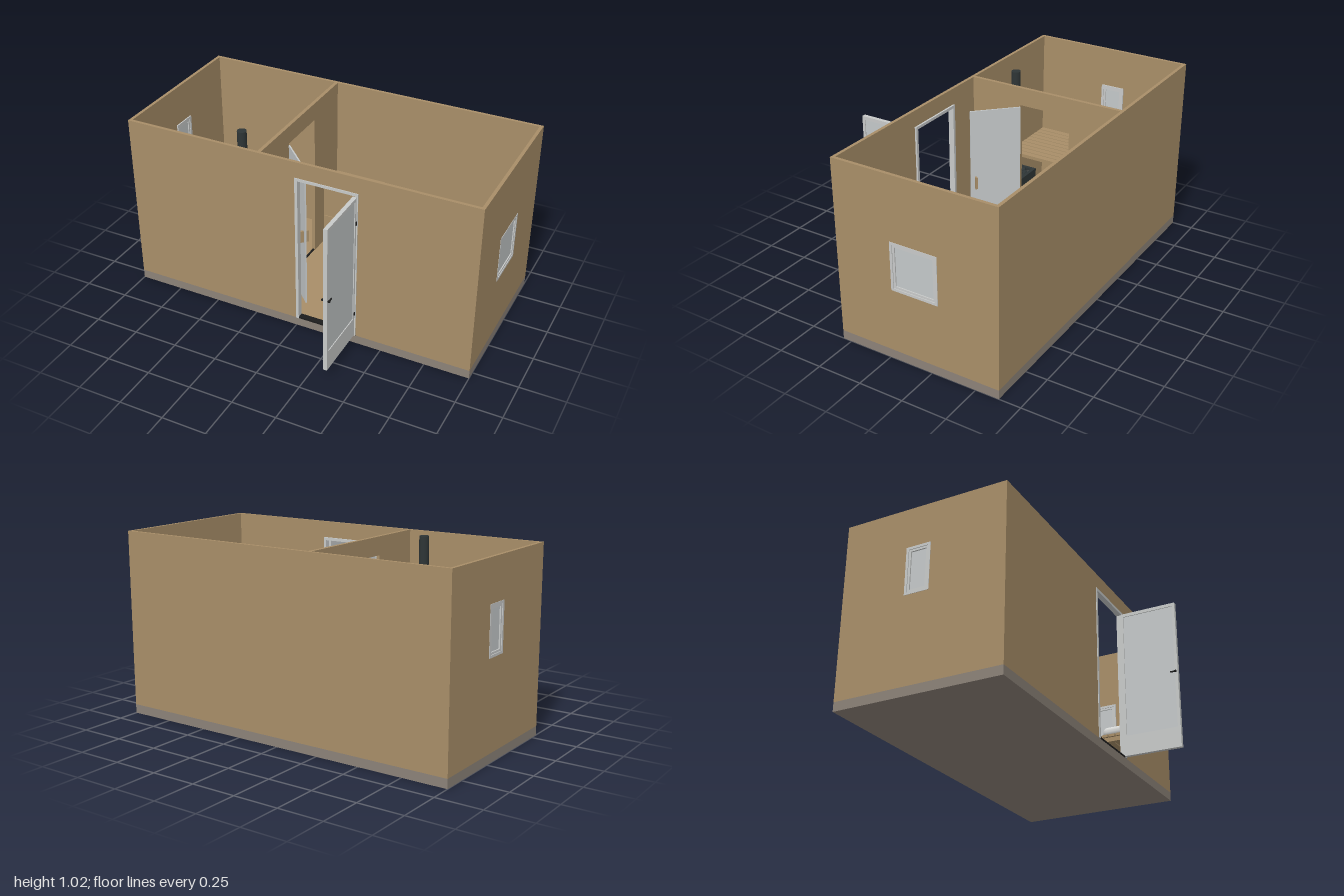
import * as THREE from 'three';
import { RoundedBoxGeometry } from 'three/addons/geometries/RoundedBoxGeometry.js';

const mat = (name, color, side = THREE.FrontSide) => {
  const m = new THREE.MeshStandardMaterial({ color, side });
  m.name = name;
  return m;
};

export function createModel() {
  const model = new THREE.Group();
  model.name = 'saunaCabin';
  const wood = mat('wood', 0xa88e68);
  const stone = mat('foundationGrey', 0x8c8278);
  const white = mat('paintedFrame', 0xc8cac9);
  const glass = mat('paleGlass', 0xc4c8c9);
  const iron = mat('castIron', 0x2e3536);
  const black = mat('blackMetal', 0x1c1c1c);
  const rock = mat('stoveRock', 0x55534f);
  const cloth = mat('cushionCloth', 0xd4d5d3);

  const add = (name, geo, material, parent = model) => {
    const m = new THREE.Mesh(geo, material);
    m.name = name;
    parent.add(m);
    return m;
  };
  // Box given by its minimum and maximum corners
  const box = (name, material, x0, x1, y0, y1, z0, z1, parent = model) => {
    const m = add(name, new THREE.BoxGeometry(x1 - x0, y1 - y0, z1 - z0), material, parent);
    m.position.set((x0 + x1) / 2, (y0 + y1) / 2, (z0 + z1) / 2);
    return m;
  };
  const cyl = (name, material, r0, r1, h, x, y, z, seg = 20, parent = model) => {
    const m = add(name, new THREE.CylinderGeometry(r0, r1, h, seg), material, parent);
    m.position.set(x, y, z);
    return m;
  };
  const group = (name, parent = model) => {
    const g = new THREE.Group();
    g.name = name;
    parent.add(g);
    return g;
  };
  const rect = (C, u0, u1, y0, y1) => {
    const s = new C();
    s.moveTo(u0, y0); s.lineTo(u1, y0); s.lineTo(u1, y1); s.lineTo(u0, y1); s.closePath();
    return s;
  };
  // Extruded panel with an optional rectangular hole [u0, u1, y0, y1]
  const panelGeo = (outer, hole, depth) => {
    const s = rect(THREE.Shape, ...outer);
    if (hole) s.holes.push(rect(THREE.Path, ...hole));
    return new THREE.ExtrudeGeometry(s, { depth, bevelEnabled: false });
  };
  // Panel lying across x, spanning z; xMax is its +x face
  const sidePanel = (name, material, xMax, outer, hole, depth, parent) => {
    const m = add(name, panelGeo(outer, hole, depth), material, parent);
    m.rotation.y = -Math.PI / 2;
    m.position.x = xMax;
    return m;
  };

  // Foundation and floor
  const TOP = 1.025;
  box('foundation', stone, -1, 1, 0, 0.05, -0.63, 0.3);
  box('floor', wood, -0.985, 0.985, 0.049, 0.055, -0.615, 0.285);

  // Walls; the front wall is cut round the doorway
  box('backWall', wood, -1, 1, 0.05, TOP, -0.63, -0.612);
  box('frontWallRight', wood, -1, 0, 0.05, TOP, 0.282, 0.3);
  box('frontWallLeft', wood, 0.355, 1, 0.05, TOP, 0.282, 0.3);
  box('frontWallLintel', wood, 0, 0.355, 0.935, TOP, 0.282, 0.3);
  const leftHole = [-0.295, -0.025, 0.402, 0.67], rightHole = [-0.26, -0.12, 0.535, 0.8];
  const span = [-0.612, 0.282, 0.05, TOP];
  sidePanel('leftWall', wood, 1, span, leftHole, 0.018);
  sidePanel('rightWall', wood, -0.982, span, rightHole, 0.018);

  // Partition with its doorway
  box('partitionBack', wood, -0.22, -0.2, 0.05, TOP, -0.612, -0.32);
  box('partitionFront', wood, -0.22, -0.2, 0.05, TOP, -0.02, 0.282);
  box('partitionLintel', wood, -0.22, -0.2, 0.925, TOP, -0.32, -0.02);
  box('innerThreshold', black, -0.215, -0.205, 0.055, 0.061, -0.32, -0.02);

  // Windows: frame, inner sash and pane
  const makeWindow = (name, h, xMax, dir) => {
    const g = group(name);
    const inset = (d) => [h[0] + d, h[1] - d, h[2] + d, h[3] - d];
    sidePanel('windowFrame', white, xMax, h, inset(0.014), 0.027, g);
    sidePanel('windowSash', white, xMax - 0.004, inset(0.014), inset(0.026), 0.019, g);
    sidePanel('windowPane', glass, xMax - 0.01, inset(0.02), null, 0.006, g);
    const inX = xMax - 0.0135 - dir * 0.016;
    box('windowSill', white, inX - 0.006, inX + 0.006, h[2], h[2] + 0.012, h[0], h[1], g);
  };
  makeWindow('leftWindow', leftHole, 1.002, 1);
  makeWindow('rightWindow', rightHole, -0.975, -1);

  // Entrance frame and threshold
  const entry = group('entranceFrame');
  box('rightJamb', white, 0, 0.016, 0.05, 0.935, 0.272, 0.304, entry);
  box('leftJamb', white, 0.339, 0.355, 0.05, 0.935, 0.272, 0.304, entry);
  box('headJamb', white, 0.016, 0.339, 0.919, 0.935, 0.272, 0.304, entry);
  box('threshold', black, 0, 0.355, 0.05, 0.06, 0.27, 0.302, entry);

  // Entrance door standing open at a right angle
  const door = group('entranceDoor');
  sidePanel('doorFrame', white, 0.348, [0.303, 0.63, 0.055, 0.915], [0.318, 0.614, 0.17, 0.896], 0.022, door);
  sidePanel('doorPanel', glass, 0.343, [0.316, 0.616, 0.168, 0.898], null, 0.012, door);
  for (const y of [0.2, 0.765]) box('hinge', black, 0.347, 0.353, y - 0.01, y + 0.01, 0.303, 0.312, door);
  for (const x of [0.319, 0.353]) {
    box('handleStem', black, x - 0.006, x + 0.006, 0.487, 0.496, 0.615, 0.624, door);
    box('handleLever', black, x - 0.003, x + 0.003, 0.488, 0.495, 0.59, 0.624, door);
  }

  // Inner glass door, half open into the front room
  const inner = group('innerDoor');
  inner.position.set(-0.2, 0, -0.02);
  inner.rotation.y = -Math.PI / 4;
  box('glassLeaf', glass, 0, 0.28, 0.065, 0.915, -0.004, 0.004, inner);
  for (const z of [-0.014, 0.014]) box('pullHandle', wood, 0.245, 0.257, 0.455, 0.525, z - 0.01, z + 0.01, inner);

  // Planks laid side by side along x or z, with narrow gaps
  const planks = (name, n, x0, x1, y0, y1, z0, z1, alongX, parent) => {
    const gap = 0.006;
    const w = ((alongX ? z1 - z0 : x1 - x0) + gap) / n;
    for (let i = 0; i < n; i++) {
      const a = (alongX ? z0 : x0) + i * w, b = a + w - gap;
      if (alongX) box(name, wood, x0, x1, y0, y1, a, b, parent);
      else box(name, wood, a, b, y0, y1, z0, z1, parent);
    }
  };
  const framedTop = (name, x0, x1, h, z0, z1, n) => {
    const g = group(name);
    planks('topPlank', n, x0, x1, h - 0.015, h, z0, z1, true, g);
    for (const x of [x0 + 0.012, x1 - 0.037]) {
      box('crossRail', wood, x, x + 0.025, h - 0.04, h - 0.015, z0 + 0.01, z1 - 0.01, g);
      for (const z of [z0 + 0.01, z1 - 0.035]) box('leg', wood, x, x + 0.025, 0.055, h - 0.04, z, z + 0.025, g);
    }
    for (const z of [z0 + 0.01, z1 - 0.022]) box('sideRail', wood, x0 + 0.037, x1 - 0.037, h - 0.04, h - 0.015, z, z + 0.012, g);
  };

  // Sauna bench in the hot room
  const bench = group('saunaBench');
  planks('benchPlank', 10, -0.98, -0.58, 0.405, 0.425, -0.61, 0.28, false, bench);
  for (const z of [-0.59, -0.18, 0.235]) {
    box('benchBearer', wood, -0.98, -0.59, 0.37, 0.405, z, z + 0.025, bench);
    box('benchLeg', wood, -0.62, -0.59, 0.055, 0.37, z, z + 0.025, bench);
  }

  // Benches, table and cushions in the front room
  framedTop('backBench', 0.21, 0.965, 0.25, -0.61, -0.42, 5);
  framedTop('frontBench', 0.445, 0.972, 0.25, 0.075, 0.275, 5);
  framedTop('table', 0.415, 0.945, 0.35, -0.325, -0.02, 5);
  const cushion = (x, z, w, d) => {
    const m = add('cushion', new RoundedBoxGeometry(w, 0.06, d, 4, 0.028), cloth);
    m.position.set(x, 0.28, z);
  };
  cushion(0.363, -0.513, 0.22, 0.145);
  cushion(0.548, 0.175, 0.155, 0.14);

  // Tableware
  const plate = add('plate', new THREE.LatheGeometry(
    [[0, 0], [0.035, 0], [0.06, 0.01], [0.058, 0.013], [0.034, 0.004], [0, 0.004]]
      .map(([r, y]) => new THREE.Vector2(r, y)), 28), white);
  plate.position.set(0.68, 0.351, -0.17);
  plate.scale.z = 0.55;
  cyl('dish', iron, 0.02, 0.016, 0.012, 0.68, 0.361, -0.17);
  cyl('cup', cloth, 0.02, 0.014, 0.03, 0.585, 0.365, -0.137);
  cyl('cup', cloth, 0.02, 0.014, 0.03, 0.757, 0.365, -0.128);

  // Low cupboard against the back wall
  const cupboard = group('cupboard');
  box('cupboardBody', wood, -0.19, 0.118, 0.055, 0.465, -0.59, -0.415, cupboard);
  for (const [y0, y1] of [[0.07, 0.253], [0.262, 0.458]])
    box('cupboardDoor', wood, -0.182, 0.11, y0, y1, -0.415, -0.409, cupboard);
  for (const y of [0.235, 0.28]) box('cupboardKnob', black, 0.01, 0.022, y - 0.004, y + 0.004, -0.409, -0.402, cupboard);

  // Stove with a firebox reaching through the partition
  const stove = group('stove');
  box('stoveBody', iron, -0.455, -0.28, 0.085, 0.37, 0.04, 0.225, stove);
  for (const x of [-0.45, -0.305]) for (const z of [0.045, 0.2])
    box('stoveFoot', iron, x, x + 0.02, 0.055, 0.085, z, z + 0.02, stove);
  const rim = add('stoveRim', panelGeo([-0.465, -0.27, -0.235, -0.03], [-0.445, -0.29, -0.215, -0.05], 0.06), iron, stove);
  rim.rotation.x = -Math.PI / 2;
  rim.position.y = 0.36;
  box('fireTunnel', iron, -0.28, -0.195, 0.11, 0.27, 0.075, 0.185, stove);
  box('fireDoor', iron, -0.195, -0.187, 0.1, 0.28, 0.062, 0.195, stove);
  box('fireDoorHandle', black, -0.187, -0.172, 0.18, 0.2, 0.08, 0.09, stove);
  cyl('fluePipe', iron, 0.026, 0.026, 0.655, -0.4, 0.6975, 0.13, 20, stove);
  const rockGeo = new THREE.IcosahedronGeometry(0.019, 0);
  for (let i = 0; i < 5; i++) for (let j = 0; j < 6; j++) {
    const x = -0.432 + i * 0.032, z = 0.066 + j * 0.027;
    if (Math.hypot(x + 0.4, z - 0.13) < 0.03) continue;
    const r = add('stoveRock', rockGeo, (i + j) % 3 ? iron : rock, stove);
    r.position.set(x, 0.392 + ((i * 7 + j * 3) % 4) * 0.005, z);
    r.rotation.set(i * 1.3, j * 2.1, i + j);
  }

  // Log rack beside the fire door
  const rack = group('logRack');
  box('rackBase', iron, -0.182, -0.1, 0.055, 0.065, 0.222, 0.268, rack);
  for (let i = 0; i < 5; i++) box('rackBar', iron, -0.182 + i * 0.0188, -0.175 + i * 0.0188, 0.065, 0.15, 0.222, 0.268, rack);
  for (const z of [0.222, 0.262]) box('rackRail', iron, -0.182, -0.1, 0.14, 0.15, z, z + 0.006, rack);

  return model;
}
